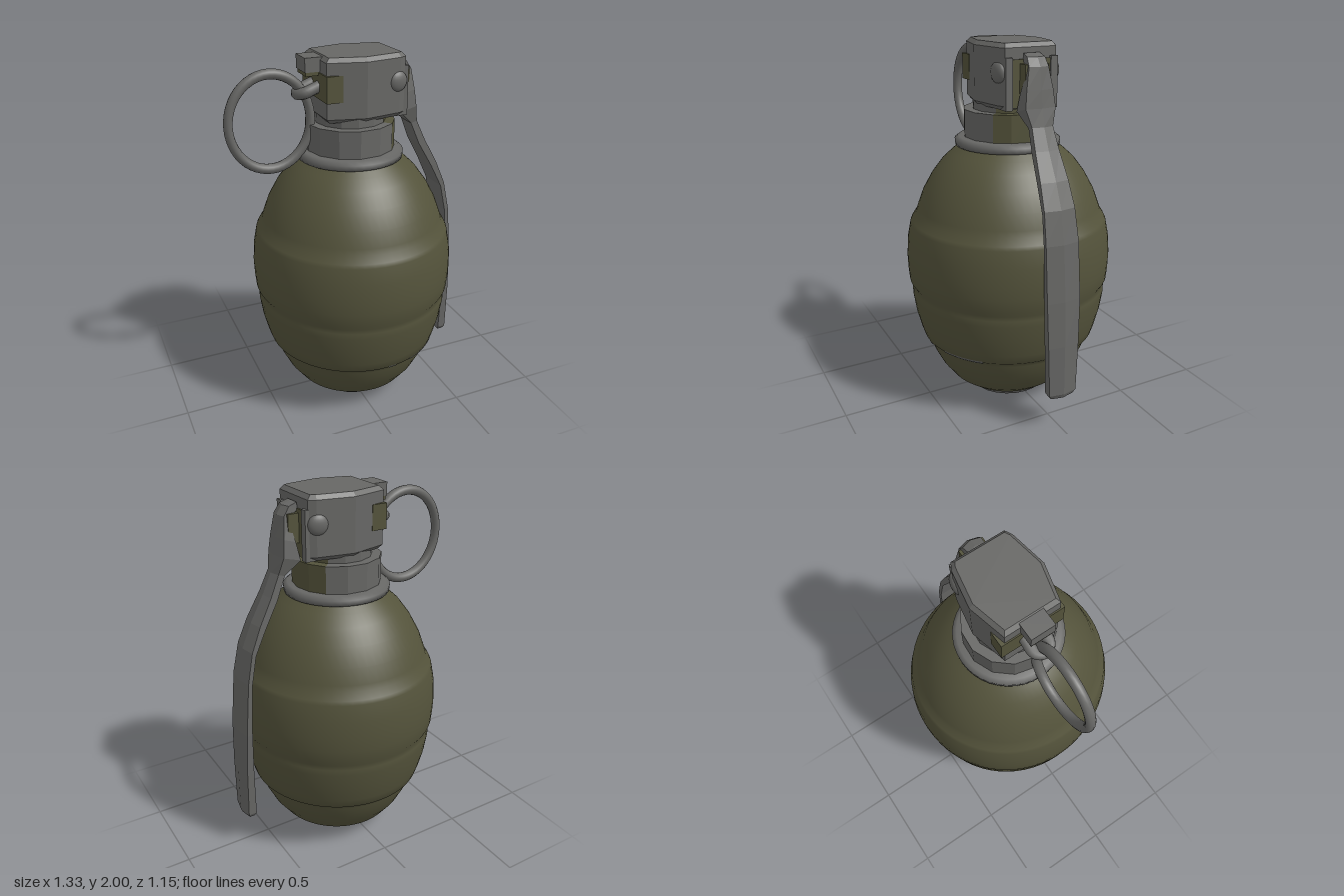
import * as THREE from 'three';

const steel = new THREE.MeshStandardMaterial({ color: 0x676765, side: THREE.DoubleSide });
steel.name = 'worn grey steel';
const olive = new THREE.MeshStandardMaterial({ color: 0x54533b, side: THREE.DoubleSide });
olive.name = 'olive paint';

const AXIS = 0.03; // x of the body axis

export function createModel() {
  const model = new THREE.Group();
  model.name = 'handGrenade';

  function add(name, geometry, material, x = 0, y = 0, z = 0) {
    const mesh = new THREE.Mesh(geometry, material);
    mesh.name = name;
    mesh.position.set(x, y, z);
    model.add(mesh);
    return mesh;
  }
  function box(name, material, x0, x1, y0, y1, z0, z1) {
    return add(name, new THREE.BoxGeometry(x1 - x0, y1 - y0, z1 - z0), material,
      (x0 + x1) / 2, (y0 + y1) / 2, (z0 + z1) / 2);
  }
  function lathe(points, segments, start = 0, length = Math.PI * 2) {
    return new THREE.LatheGeometry(points.map(p => new THREE.Vector2(...p)), segments, start, length);
  }

  // Egg-shaped body with three stepped bands
  const body = add('body', lathe([
    [0.23, 0.02], [0.28, 0.05], [0.345, 0.1], [0.405, 0.18], [0.445, 0.26], [0.467, 0.32],
    [0.47, 0.335], [0.497, 0.355], [0.515, 0.41], [0.538, 0.5], [0.553, 0.6], [0.553, 0.635],
    [0.55, 0.66], [0.567, 0.69], [0.573, 0.76], [0.575, 0.83], [0.568, 0.93], [0.55, 1.02],
    [0.54, 1.04], [0.517, 1.075], [0.505, 1.11], [0.475, 1.19], [0.425, 1.28], [0.365, 1.36],
    [0.31, 1.41], [0.26, 1.45],
  ], 64), olive, AXIS);
  body.scale.x = 0.975;

  // Bare metal base
  add('base', lathe([[0, 0], [0.222, 0], [0.232, 0.021]], 24), steel, AXIS).scale.x = 0.975;

  // Paint chips along the lowest band
  for (const [start, length] of [[0.32, 0.5], [0.02, 0.1]]) {
    add('paintChip', lathe([[0.483, 0.34], [0.499, 0.353], [0.504, 0.365]], 8, start, length), steel, AXIS)
      .scale.x = 0.975;
  }

  // Flange, faceted collar and neck; the lever side is painted
  add('flange', lathe([[0.2, 1.44], [0.285, 1.445], [0.288, 1.475], [0.265, 1.492], [0.2, 1.495]], 40), steel, 0.02);
  const steelFacets = steel.clone();
  const half = 0.8;
  function collar(name, radius, y0, y1) {
    const mid = (y0 + y1) / 2, h = y1 - y0;
    const part = (start, length, n, caps) =>
      new THREE.CylinderGeometry(radius, radius, h, n, 1, !caps, start, length).toNonIndexed();
    const painted = part(Math.PI / 2 - half, 2 * half, 4, true);
    const bare = part(Math.PI / 2 + half, Math.PI * 2 - 2 * half, 10, true);
    painted.computeVertexNormals();
    bare.computeVertexNormals();
    add(name + 'Painted', painted, olive, 0.02, mid);
    add(name, bare, steel, 0.02, mid);
  }
  steelFacets.dispose();
  collar('collar', 0.24, 1.48, 1.64);
  collar('neck', 0.19, 1.63, 1.72);

  // Fuze head: six-sided block with bevelled edges
  const outline = new THREE.Shape([
    [-0.17, -0.15], [0.03, -0.2], [0.23, -0.165], [0.268, -0.145],
    [0.268, 0.145], [0.23, 0.165], [0.03, 0.2], [-0.17, 0.15],
  ].map(p => new THREE.Vector2(...p)));
  const head = new THREE.ExtrudeGeometry(outline, {
    depth: 0.285, bevelThickness: 0.022, bevelSize: 0.02, bevelOffset: -0.02, bevelSegments: 1,
  });
  head.rotateX(-Math.PI / 2);
  add('fuzeHead', head, steel, 0, 1.692);

  // Pin side: painted notch and a tongue on top
  box('pinNotch', olive, -0.177, -0.09, 1.78, 1.915, -0.172, 0.172);
  box('tongue', steel, -0.25, -0.15, 1.92, 1.993, -0.065, 0.065);
  box('tongueUnderside', olive, -0.245, -0.16, 1.9, 1.922, -0.06, 0.06);

  // Hinge side: painted interior, cheeks and pivot rivets
  box('hingeInterior', olive, 0.26, 0.276, 1.68, 1.92, -0.11, 0.11);
  box('leverInterior', olive, 0.27, 0.335, 1.75, 1.9, -0.066, 0.066);
  for (const side of [-1, 1]) {
    box('hingeCheek', steel, 0.22, 0.285, 1.67, 1.93, side * 0.128 - 0.02, side * 0.128 + 0.02);
    const rivet = add('rivet', new THREE.SphereGeometry(0.054, 20, 12), steel, 0.22, 1.855, side * 0.158);
    rivet.scale.z = 0.5;
    rivet.rotation.y = side * 0.16;
  }

  // Safety lever: ridged cross-sections (outer x, y, inner x, y, half width)
  const rows = [
    [0.29, 1.95, 0.27, 1.915, 0.045],
    [0.335, 1.935, 0.3, 1.89, 0.05],
    [0.365, 1.89, 0.325, 1.86, 0.055],
    [0.38, 1.78, 0.3, 1.76, 0.075],
    [0.39, 1.69, 0.28, 1.665, 0.085],
    [0.41, 1.6, 0.36, 1.59, 0.06],
    [0.46, 1.49, 0.41, 1.47, 0.068],
    [0.535, 1.35, 0.49, 1.33, 0.08],
    [0.59, 1.22, 0.555, 1.2, 0.088],
    [0.625, 1.05, 0.588, 1.04, 0.095],
    [0.652, 0.75, 0.605, 0.75, 0.097],
    [0.662, 0.5, 0.607, 0.5, 0.09],
    [0.665, 0.22, 0.603, 0.22, 0.08],
    [0.655, 0.195, 0.61, 0.195, 0.065],
  ];
  const positions = [], index = [], N = 5;
  rows.forEach(([xo, yo, xi, yi, w], i) => {
    const xe = xo - 0.015;
    positions.push(xe, yo, w, xo, yo, 0, xe, yo, -w, xi, yi, -w, xi, yi, w);
    if (i === 0) return;
    for (let j = 0; j < N; j++) {
      const a = (i - 1) * N + j, b = (i - 1) * N + (j + 1) % N;
      index.push(a, a + N, b, b, a + N, b + N);
    }
  });
  const last = (rows.length - 1) * N;
  for (let j = 1; j < N - 1; j++) index.push(0, j, j + 1, last, last + j + 1, last + j);
  const indexed = new THREE.BufferGeometry();
  indexed.setAttribute('position', new THREE.Float32BufferAttribute(positions, 3));
  indexed.setIndex(index);
  const lever = indexed.toNonIndexed();
  lever.computeVertexNormals();
  add('safetyLever', lever, steel);

  // Pull ring and the pin loop that holds it
  const ring = add('pullRing', new THREE.TorusGeometry(0.248, 0.027, 12, 48), steel, -0.422, 1.67);
  ring.scale.x = 0.88;
  const loop = new THREE.CatmullRomCurve3([
    [-0.12, 1.86, 0.042], [-0.19, 1.835, 0.045], [-0.25, 1.812, 0.04], [-0.272, 1.803, 0],
    [-0.25, 1.812, -0.04], [-0.19, 1.835, -0.045], [-0.12, 1.86, -0.042],
  ].map(p => new THREE.Vector3(...p)));
  add('pinLoop', new THREE.TubeGeometry(loop, 32, 0.03, 10), steel);

  return model;
}
